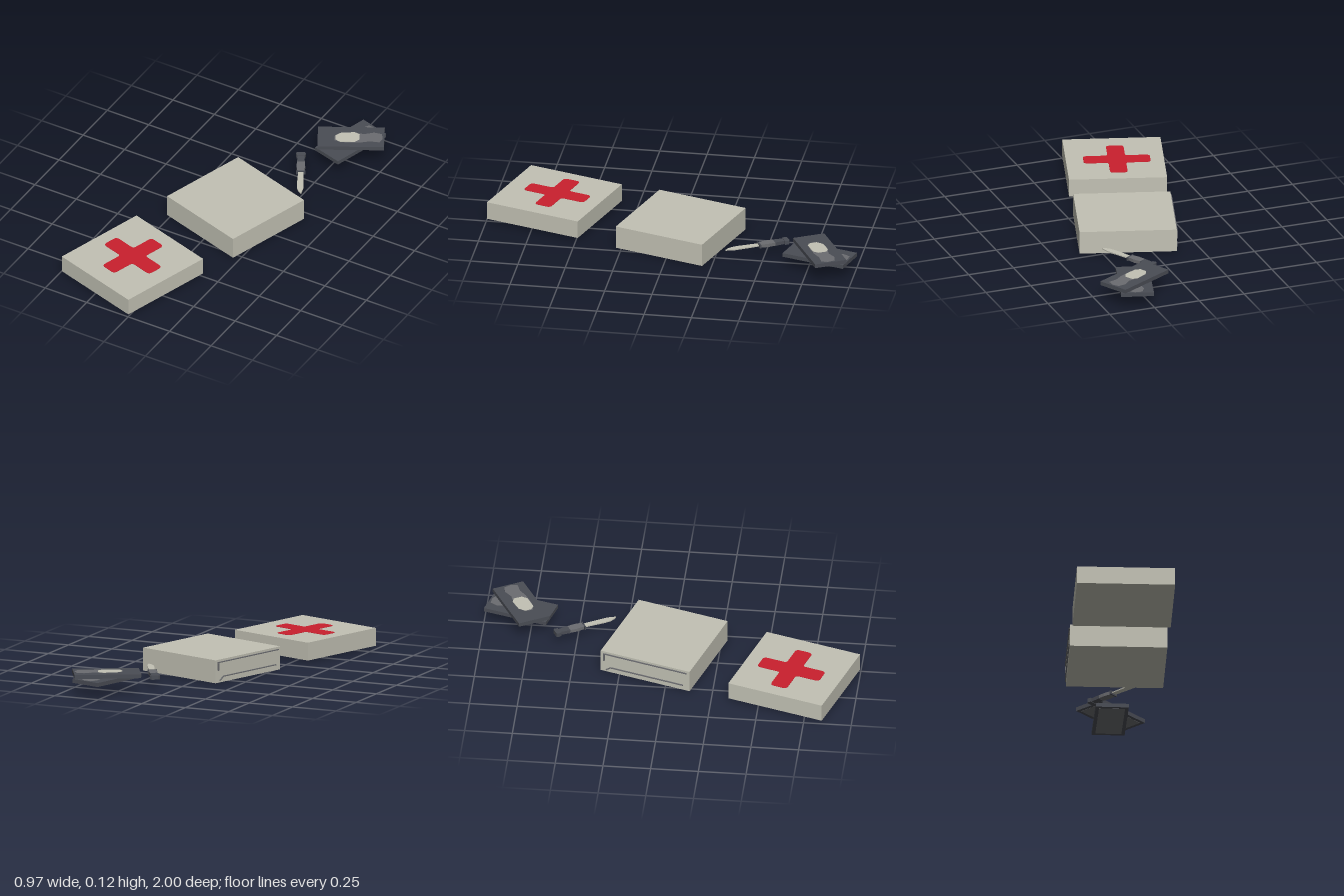
import * as THREE from 'three';

const mat = (name, color, extra = {}) => {
  const m = new THREE.MeshStandardMaterial({ color });
  m.name = name;
  return Object.assign(m, extra);
};

export function createModel() {
  const beige = mat('beige', 0xc2c1b4);
  const red = mat('red', 0xca202e);
  const slate = mat('slate', 0x4a4d55);
  const grey = mat('grey', 0x6c6d71);

  const model = new THREE.Group();
  model.name = 'survivalSupplies';

  const group = (name, x, z, turn) => {
    const g = new THREE.Group();
    g.name = name;
    g.position.set(x, 0, z);
    g.rotation.y = turn;
    model.add(g);
    return g;
  };
  const box = (parent, name, m, size, pos) => {
    const mesh = new THREE.Mesh(new THREE.BoxGeometry(...size), m);
    mesh.name = name;
    mesh.position.set(...pos);
    parent.add(mesh);
    return mesh;
  };
  // Flat outline in the ground plane, extruded upward from y
  const plate = (parent, name, m, shape, y, thick) => {
    const geo = new THREE.ExtrudeGeometry(shape, { depth: thick, bevelEnabled: false, curveSegments: 5 });
    geo.rotateX(-Math.PI / 2);
    const mesh = new THREE.Mesh(geo, m);
    mesh.name = name;
    mesh.position.y = y;
    parent.add(mesh);
    return mesh;
  };
  const outline = (pts) => new THREE.Shape(pts.map(([x, y]) => new THREE.Vector2(x, y)));

  // Medical box with a round-cornered cross on the lid
  const kit = group('medicalBox', -0.1675, 0.668, -0.3);
  box(kit, 'medicalBoxBody', beige, [0.513, 0.095, 0.529], [0, 0.0605, 0]);
  const cross = new THREE.Shape();
  const L = 0.175, W = 0.046, r = 0.022, f = 0.016;
  for (let i = 0; i < 4; i++) {
    const c = Math.round(Math.cos(i * Math.PI / 2)), s = Math.round(Math.sin(i * Math.PI / 2));
    const p = (x, y) => [x * c - y * s, x * s + y * c];
    if (i === 0) cross.moveTo(...p(W + f, -W));
    cross.lineTo(...p(L - r, -W));
    cross.quadraticCurveTo(...p(L, -W), ...p(L, -W + r));
    cross.lineTo(...p(L, W - r));
    cross.quadraticCurveTo(...p(L, W), ...p(L - r, W));
    cross.lineTo(...p(W + f, W));
    cross.quadraticCurveTo(...p(W, W), ...p(W, W + f));
  }
  const crossMesh = plate(kit, 'cross', red, cross, 0.108, 0.002);
  crossMesh.position.x = -0.01;
  crossMesh.position.z = -0.012;

  // Plain supply box with thin seams on its side
  const crate = group('supplyBox', 0.045, -0.035, -0.3);
  box(crate, 'supplyBoxBody', beige, [0.508, 0.122, 0.503], [0, 0.061, 0]);
  box(crate, 'upperSeam', grey, [0.008, 0.005, 0.47], [-0.256, 0.108, 0]);
  box(crate, 'lowerSeam', grey, [0.008, 0.005, 0.41], [-0.256, 0.03, 0.01]);
  box(crate, 'endSeam', grey, [0.008, 0.04, 0.007], [-0.256, 0.085, -0.232]);
  const bend = box(crate, 'seamBend', grey, [0.008, 0.005, 0.032], [-0.256, 0.021, -0.207]);
  bend.rotation.x = -0.62;

  // Knife lying flat, blade along local +x
  const knife = group('knife', 0.185, -0.47, -1.05);
  plate(knife, 'blade', beige, outline([
    [0, -0.014], [0.06, -0.017], [0.11, -0.02], [0.145, -0.018], [0.17, -0.009],
    [0.185, 0.003], [0.14, 0.014], [0.06, 0.015], [0, 0.014]]), 0.058, 0.006);
  box(knife, 'guard', slate, [0.008, 0.02, 0.05], [-0.002, 0.06, 0]);
  plate(knife, 'frontGrip', grey, outline([
    [-0.085, -0.02], [-0.045, -0.023], [-0.006, -0.018], [-0.006, 0.018], [-0.045, 0.023], [-0.085, 0.02]]), 0.051, 0.018);
  plate(knife, 'rearGrip', slate, outline([
    [-0.14, -0.015], [-0.085, -0.021], [-0.085, 0.021], [-0.14, 0.015]]), 0.05, 0.019);
  plate(knife, 'pommel', slate, outline([
    [-0.165, -0.018], [-0.158, -0.026], [-0.138, -0.022], [-0.138, 0.022], [-0.158, 0.026], [-0.165, 0.018]]), 0.048, 0.022);

  // Two identical flat packs stacked crosswise
  const stain = outline([
    [-0.085, -0.028], [-0.03, -0.046], [0.05, -0.045], [0.1, -0.034], [0.15, -0.042], [0.166, -0.01],
    [0.16, 0.03], [0.12, 0.042], [0.07, 0.028], [0.02, 0.038], [-0.05, 0.034], [-0.085, 0.012]]);
  const label = outline([
    [-0.08, -0.022], [-0.06, -0.042], [0.02, -0.042], [0.045, -0.02],
    [0.045, 0.025], [0.02, 0.042], [-0.05, 0.038], [-0.08, 0.015]]);
  const pack = (name, x, z, turn, y) => {
    const g = group(name, x, z, turn);
    g.position.y = y;
    box(g, 'packBody', slate, [0.348, 0.021, 0.172], [0, 0.0115, 0]);
    box(g, 'packBase', grey, [0.31, 0.002, 0.136], [0, 0.001, 0]);
    const a = plate(g, 'packPanel', grey, stain, 0.022, 0.001);
    const b = plate(g, 'packLabel', beige, label, 0.023, 0.001);
    a.position.z = b.position.z = 0.003;
  };
  pack('lowerPack', 0.288, -0.81, 1.29, 0.066);
  pack('upperPack', 0.29, -0.81, 0.504, 0.09);

  return model;
}
